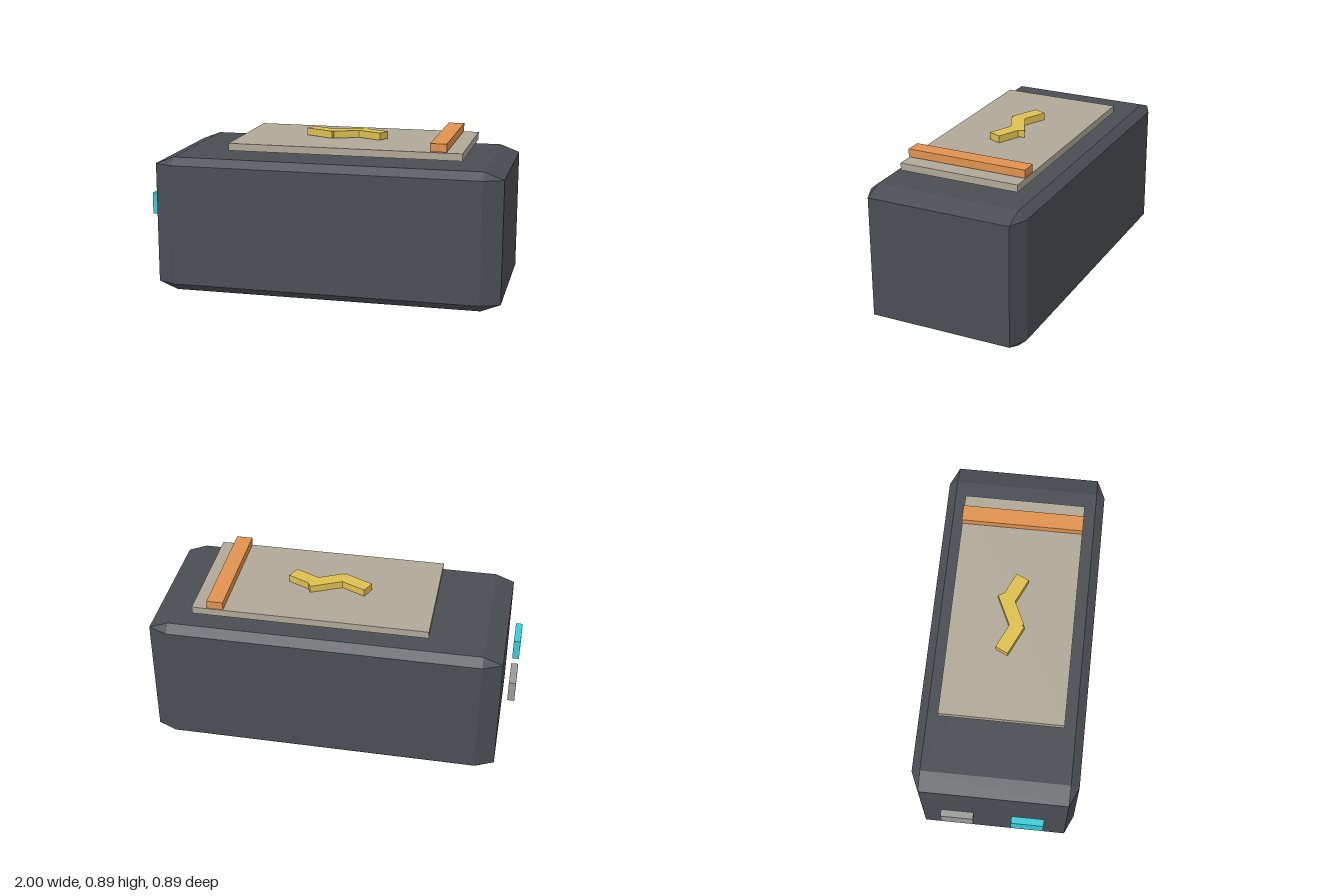
import * as THREE from 'three';
import { ConvexGeometry } from 'three/addons/geometries/ConvexGeometry.js';

function material(color) {
  return new THREE.MeshStandardMaterial({ color, flatShading: true });
}

// Box given by its [min, max] range on each axis
function box(name, [x0, x1], [y0, y1], [z0, z1], mat) {
  const mesh = new THREE.Mesh(new THREE.BoxGeometry(x1 - x0, y1 - y0, z1 - z0), mat);
  mesh.position.set((x0 + x1) / 2, (y0 + y1) / 2, (z0 + z1) / 2);
  mesh.name = name;
  return mesh;
}

// Box with every edge chamfered: three points at each corner
function chamferedBox(outer, inner) {
  const points = [];
  for (const i of [0, 1]) for (const j of [0, 1]) for (const k of [0, 1]) {
    const out = [outer[0][i], outer[1][j], outer[2][k]];
    const inn = [inner[0][i], inner[1][j], inner[2][k]];
    for (let axis = 0; axis < 3; axis++) {
      const p = [...inn];
      p[axis] = out[axis];
      points.push(new THREE.Vector3(...p));
    }
  }
  return new ConvexGeometry(points);
}

export function createModel() {
  const model = new THREE.Group();
  model.name = 'batteryPack';

  // Chamfered casing
  const casing = new THREE.Mesh(
    chamferedBox(
      [[-0.925, 1], [0, 0.76], [-0.447, 0.447]],
      [[-0.82, 0.893], [0.043, 0.72], [-0.4, 0.4]]
    ),
    material(0x4a4e54)
  );
  casing.name = 'casing';
  model.add(casing);

  // Floating label plate and its stripe
  model.add(box('labelPlate', [-0.522, 0.77], [0.798, 0.838], [-0.337, 0.337], material(0xb0a898)));
  model.add(box('stripe', [0.595, 0.685], [0.842, 0.886], [-0.337, 0.337], material(0xe0924e)));

  // Zigzag bolt made of three turned bars: x, z, length, angle
  const bolt = new THREE.Group();
  bolt.name = 'bolt';
  const yellow = material(0xdcc050);
  for (const [x, z, length, angle] of [
    [-0.067, 0, 0.177, -25],
    [0.088, -0.01, 0.21, 25],
    [0.207, -0.003, 0.177, -25],
  ]) {
    const bar = box('boltBar', [-length / 2, length / 2], [0.841, 0.881], [-0.038, 0.038], yellow);
    bar.position.x = x;
    bar.position.z = z;
    bar.rotation.y = THREE.MathUtils.degToRad(angle);
    bolt.add(bar);
  }
  model.add(bolt);

  // Terminals beside the end face
  model.add(box('frontTerminal', [-1, -0.962], [0.4, 0.52], [0.1, 0.277], material(0x36ccda)));
  model.add(box('backTerminal', [-1, -0.962], [0.4, 0.52], [-0.283, -0.106], material(0x9a9c9a)));

  return model;
}
